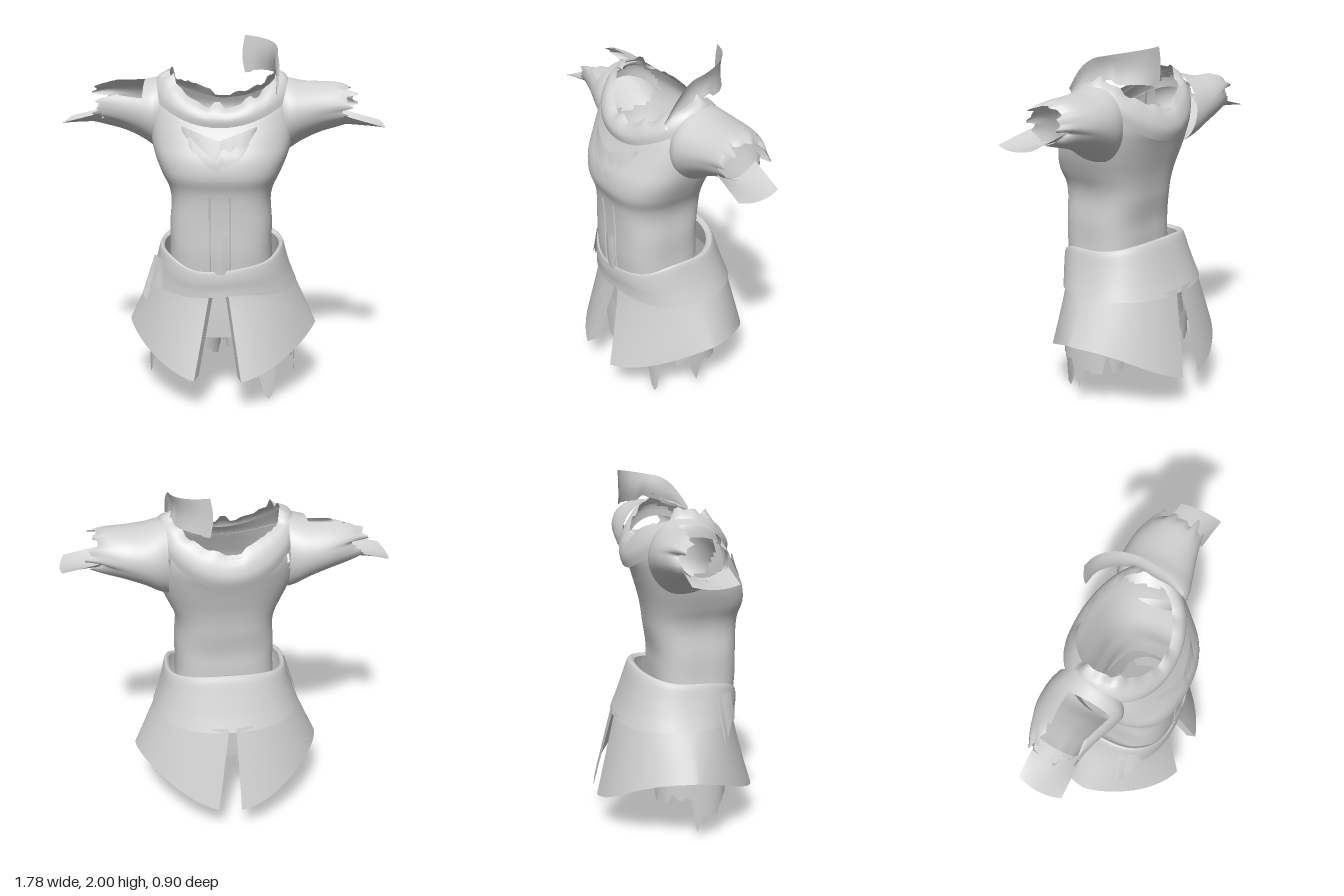
import * as THREE from 'three';
import { mergeVertices } from 'three/addons/utils/BufferGeometryUtils.js';

const cloth = new THREE.MeshStandardMaterial({ color: 0xd2d2d2, side: THREE.DoubleSide });
cloth.name = 'light grey cloth';

const rnd = (i) => { const s = Math.sin(i * 12.9898 + 4.1) * 43758.5453; return s - Math.floor(s); };
const pow = (v, e) => Math.sign(v) * Math.pow(Math.abs(v), e);
const lerp = THREE.MathUtils.lerp;
const bump = (a, centre, width) => Math.max(0, 1 - Math.abs(a - centre) / width);

// Smooth grid surface from fn(u, v) -> [x, y, z]; faces whose centre satisfies skip are left out
function sheet(name, nu, nv, fn, skip) {
  const pos = [], idx = [];
  for (let j = 0; j <= nv; j++)
    for (let i = 0; i <= nu; i++) pos.push(...fn(i / nu, j / nv));
  for (let j = 0; j < nv; j++)
    for (let i = 0; i < nu; i++) {
      const a = j * (nu + 1) + i, b = a + 1, c = a + nu + 1, d = c + 1;
      const mid = [0, 1, 2].map((k) => (pos[a * 3 + k] + pos[d * 3 + k]) / 2);
      if (!skip || !skip(...mid)) idx.push(a, b, d, a, d, c);
    }
  let g = new THREE.BufferGeometry();
  g.setAttribute('position', new THREE.Float32BufferAttribute(pos, 3));
  g.setIndex(idx);
  g = mergeVertices(g, 1e-5);
  g.computeVertexNormals();
  const m = new THREE.Mesh(g, cloth);
  m.name = name;
  return m;
}

// Catmull-Rom sample through rows of numbers
function sample(rows, t) {
  const n = rows.length - 1, k = Math.min(Math.floor(t * n), n - 1), f = t * n - k;
  const p = [-1, 0, 1, 2].map((o) => rows[Math.min(n, Math.max(0, k + o))]);
  return rows[0].map((_, c) => {
    const [a, b, d, e] = p.map((r) => r[c]);
    return b + 0.5 * f * (d - a + f * (2 * a - 5 * b + 4 * d - e + f * (3 * (b - d) + e - a)));
  });
}

// Rounded body ring: row = [halfWidth, zFront, zBack, yFront, ySide, yBack, squareness]; angle 0 is front
function ring([w, zf, zb, yf, ys, yb, e], a) {
  const c = Math.cos(a), zc = (zf + zb) / 2;
  return [w * pow(Math.sin(a), e), lerp(ys, c > 0 ? yf : yb, c * c), zc + (zf - zb) / 2 * pow(c, e)];
}
const around = (u) => (u * 2 - 1) * Math.PI;

const torsoRows = [
  [.285, .33, -.13, .74, .80, .88, .7], [.28, .34, -.13, .88, .9, .93, .68], [.28, .34, -.13, 1.02, 1.02, 1.02, .68],
  [.272, .345, -.15, 1.14, 1.14, 1.14, .7], [.285, .355, -.16, 1.22, 1.22, 1.22, .72],
  [.322, .38, -.175, 1.3, 1.3, 1.3, .75], [.36, .37, -.2, 1.39, 1.39, 1.39, .78],
  [.385, .335, -.225, 1.47, 1.48, 1.47, .82], [.395, .3, -.25, 1.54, 1.6, 1.54, .86],
  [.38, .28, -.26, 1.58, 1.71, 1.6, .92], [.33, .25, -.24, 1.62, 1.79, 1.65, .95],
];

// Front surface of the torso at x, y
function chestZ(x, y) {
  let lo = 0, hi = 1;
  for (let k = 0; k < 20; k++) { const m = (lo + hi) / 2; if (sample(torsoRows, m)[3] < y) lo = m; else hi = m; }
  const r = sample(torsoRows, lo), s = Math.pow(Math.min(1, Math.abs(x) / r[0]), 1 / r[6]);
  return ring(r, Math.asin(s))[2];
}

// Sleeve rows: [x, yTop, yBottom, z, zRadius]
const sleeveRows = [
  [.32, 1.80, 1.385, -.02, .19], [.37, 1.79, 1.405, -.02, .205], [.44, 1.775, 1.45, -.03, .2],
  [.54, 1.77, 1.495, -.04, .18], [.64, 1.765, 1.525, -.035, .15], [.70, 1.74, 1.545, -.02, .125],
];

function sleeve(side) {
  return sheet(side > 0 ? 'leftSleeve' : 'rightSleeve', 48, 16, (u, v) => {
    const a = around(u), r = sample(sleeveRows, v);
    // torn cuff, with the front of the right shoulder ripped shorter
    const rip = side < 0 ? .15 * bump(a, .75, .75) : 0;
    const fray = v ** 4 * ((rnd(Math.round(u * 24) % 24 + side) - .5) * .1 - rip);
    const c = Math.cos(a);
    return [side * (r[0] + fray), (r[1] + r[2]) / 2 + (r[1] - r[2]) / 2 * c, r[3] + r[4] * Math.sin(a)];
  }, (x, y, z) => side < 0 && x < -.42 && z > -.09 && y > 1.7);
}

function cuffFlap(side) {
  return sheet('cuffFlap', 8, 6, (u, v) => {
    const s = u * 2 - 1, x = .66 + .23 * v - .02 * v * s * s;
    return [side * x, 1.545 - .01 * v + .06 * s * s * (1 - v * .75), s * .12 + (side > 0 ? .02 * v : -.015)];
  });
}

// Half of the split skirt, flaring to a hem that is high at the hips and pointed front and back
function skirtPoint(side, u, v) {
  const backHem = side > 0 ? .09 : .04;
  const w = lerp(.41, .535, v), zf = lerp(.335, .465, v ** 1.2), zb = lerp(.34, .455, v);
  const a0 = lerp(.05, .13, v) / w, a1 = Math.PI - lerp(.02, backHem, v) / w;
  const a = lerp(a0, a1, u), c = Math.cos(a), front = c > 0;
  const hem = .39 - .215 * Math.abs(c) ** (front ? 2 : 3.2);
  const z = front ? zf * pow(c, lerp(.95, 1.5, v)) : zb * pow(c, lerp(.95, 1.2, v));
  return [side * w * Math.sin(a), lerp(.66, hem, v), z];
}

// Ragged shorts leg
function leg(side) {
  return sheet(side > 0 ? 'leftLeg' : 'rightLeg', 56, 8, (u, v) => {
    const a = around(u), s = Math.sin(a), c = Math.cos(a);
    let hem = .19 + .11 * rnd((Math.round(u * 28) % 28) * 3 + side * 7) + .05 * Math.max(0, -s);
    hem -= .1 * bump(a, Math.PI / 2, .13);
    hem -= (side > 0 ? .42 : .14) * bump(a, side > 0 ? .2 : -.1, .24);
    if (side < 0 && c < .6 && c > -.1 && s > 0) hem -= .06;
    const z = .035 + lerp(.21, .205, v) * pow(c, .8);
    return [side * (.212 + .205 * pow(s, .75)), lerp(.4, Math.max(0, hem), v), z];
  });
}

export function createModel() {
  const model = new THREE.Group();
  const add = (...m) => model.add(...m);

  // Bodice with open armholes
  add(sheet('bodice', 80, 44, (u, v) => ring(sample(torsoRows, v), around(u)), (x, y, z) =>
    Math.abs(x) > .25 && ((y - 1.63) / .14) ** 2 + ((z + .02) / .15) ** 2 < 1));

  // Draped cowl, hanging lower at the back, with a torn upper edge
  const cowlRows = [
    [.385, .29, -.27, 1.56, 1.70, 1.49, .95], [.375, .295, -.285, 1.6, 1.76, 1.55, .97],
    [.34, .275, -.265, 1.64, 1.81, 1.62, 1], [.29, .235, -.225, 1.67, 1.82, 1.67, 1],
  ];
  add(sheet('cowl', 64, 10, (u, v) => {
    const a = around(u), p = ring(sample(cowlRows, v), a);
    p[1] += v ** 3 * ((rnd(Math.round(u * 32) % 32) - .5) * .06 + .06 * bump(a, -1.1, .15));
    return p;
  }));

  // Standing remnant of the hood on the left
  const hoodRows = [ // x, z, yLow, yHigh
    [.11, -.275, 1.79, 2], [.19, -.25, 1.8, 1.99], [.26, -.18, 1.81, 1.975], [.295, -.08, 1.82, 1.955],
    [.3, .02, 1.79, 1.93], [.31, .1, 1.76, 1.87], [.31, .18, 1.71, 1.76],
  ];
  add(sheet('hoodRemnant', 28, 6, (u, v) => {
    const [x, z, lo, hi] = sample(hoodRows, u);
    return [x - .015 * Math.sin(v * Math.PI), lerp(lo + .02 * (rnd(Math.round(u * 14)) - .5), hi, v), z];
  }));

  // Folded V drapes on the chest
  for (const [w, top, low, lift] of [[.2, 1.5, 1.42, .024], [.16, 1.45, 1.35, .013]])
    add(sheet('chestDrape', 24, 6, (u, v) => {
      const s = u * 2 - 1, x = w * s;
      const y = lerp(top + .07 * Math.abs(s), low + .13 * s * s + (rnd(Math.round(u * 12)) - .5) * .04, v);
      return [x, y, chestZ(x, Math.min(y, 1.6)) + lift * (1 - .6 * v)];
    }));

  // Front placket strips and strap
  for (const [x0, x1, y0, y1, lift] of [[-.052, -.042, .78, 1.2, .01], [.055, .064, .78, 1.2, .01], [-.03, .05, .77, .99, .018]])
    add(sheet('frontStrap', 4, 10, (u, v) => {
      const x = lerp(x0, x1, u), y = lerp(y0, y1, v);
      return [x, y, chestZ(x, y) + lift * Math.sin(Math.PI * (.15 + .7 * u))];
    }));

  // Wide hip belt, higher at the back
  const beltRows = [
    [.32, .33, -.2, .775, .875, .915, .8], [.342, .345, -.235, .785, .885, .93, .8], [.365, .35, -.275, .73, .8, .82, .82],
    [.39, .345, -.31, .68, .72, .72, .85], [.42, .345, -.345, .64, .645, .635, .9],
  ];
  add(sheet('belt', 72, 14, (u, v) => {
    const a = around(u), p = ring(sample(beltRows, v), a);
    p[1] += .01 * Math.sin(a * 5) * Math.max(0, Math.cos(a));
    return p;
  }));

  // Shorts seat, joining the two legs, open at the front notch
  const seatRows = [[.365, .24, -.18, .63, .63, .63, .85], [.39, .245, -.18, .5, .5, .5, .82], [.417, .245, -.175, .37, .38, .36, .75]];
  add(sheet('shortsSeat', 64, 8, (u, v) => ring(sample(seatRows, v), around(u)),
    (x, y) => Math.abs(x) < .06 && y > .58));

  for (const side of [1, -1]) {
    add(sleeve(side), cuffFlap(side), leg(side));
    add(sheet(side > 0 ? 'leftSkirt' : 'rightSkirt', 40, 12, (u, v) => skirtPoint(side, u, v)));
    // Turned-in edge at the front slit
    add(sheet('slitEdge', 2, 12, (u, v) => {
      const [x, y, z] = skirtPoint(side, 0, v);
      return [x - side * .022 * u, y + .015 * u, z - .05 * u];
    }));
  }

  // Torn scrap hanging at the right hip
  add(sheet('hipTatter', 8, 6, (u, v) => {
    const x = lerp(-.31, -.37, u) - .08 * v * u, low = lerp(.68, .56, u);
    return [x, lerp(.82, low, v) + .05 * (rnd(Math.round(u * 8)) - .5) * v, lerp(.25, .15, u) + .03 * v];
  }));

  return model;
}
